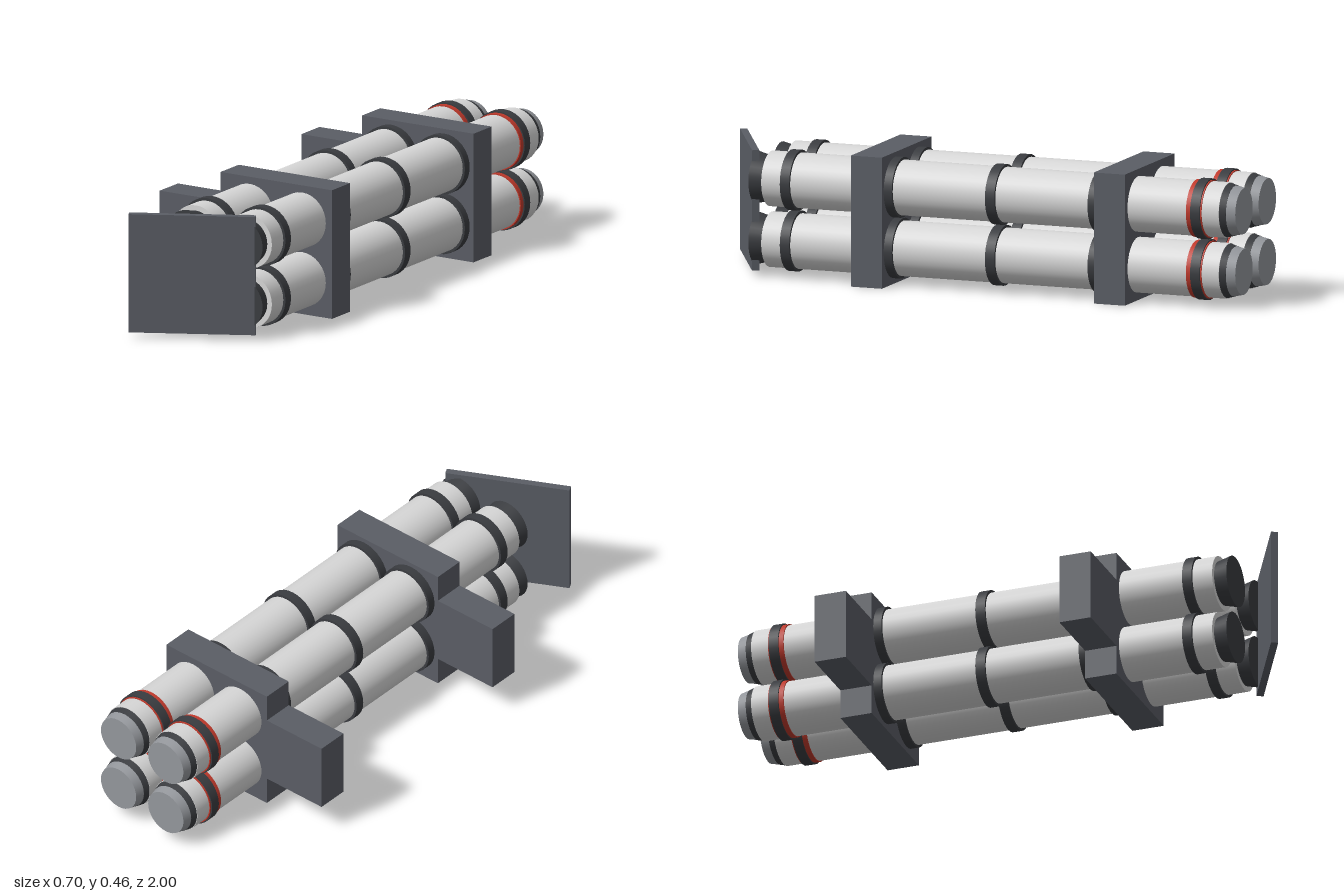
import * as THREE from 'three';

const mat = (name, color) => {
  const m = new THREE.MeshStandardMaterial({ color });
  m.name = name;
  return m;
};

export function createModel() {
  const frameGrey = mat('frame grey', 0x5a5d65);
  const tubeWhite = mat('tube white', 0xd6d6d6);
  const bandDark = mat('band dark grey', 0x3a3c40);
  const capGrey = mat('cap grey', 0x94979c);
  const red = mat('marking red', 0xc0392b);

  const root = new THREE.Group();
  root.name = 'tubeLauncher';

  const box = (name, w, h, d, x, y, z) => {
    const m = new THREE.Mesh(new THREE.BoxGeometry(w, h, d), frameGrey);
    m.name = name;
    m.position.set(x, y, z);
    root.add(m);
    return m;
  };

  // Round section along z, from the back end z0 to the front end z1
  const section = (parent, name, material, z0, z1, r0, r1 = r0) => {
    const geo = new THREE.CylinderGeometry(r1, r0, z1 - z0, 32);
    geo.rotateX(Math.PI / 2);
    const m = new THREE.Mesh(geo, material);
    m.name = name;
    m.position.z = (z0 + z1) / 2;
    parent.add(m);
  };

  // Two square frames, each with a mounting block on its right side
  for (const z of [0.35, -0.55]) {
    box('frame', 0.455, 0.457, 0.115, 0.1235, 0.2285, z);
    box('mountBlock', 0.25, 0.25, 0.115, -0.227, 0.23, z);
  }

  // Four tubes in a square
  for (const x of [0.016, 0.23]) {
    for (const y of [0.124, 0.336]) {
      const tube = new THREE.Group();
      tube.name = 'launchTube';
      tube.position.set(x, y, 0);
      section(tube, 'barrel', tubeWhite, -0.945, 0.75, 0.096);
      for (let i = 0; i < 5; i++) {
        const z = 0.66 - i * 0.38;
        section(tube, 'band', bandDark, z - 0.0175, z + 0.0175, 0.105);
      }
      section(tube, 'redBand', red, -0.882, -0.825, 0.1);
      // Flared muzzle at the front, tapered cap at the back
      section(tube, 'muzzle', bandDark, 0.745, 0.8, 0.076, 0.09);
      section(tube, 'capCollar', bandDark, -0.968, -0.945, 0.088, 0.094);
      section(tube, 'rearCap', capGrey, -1, -0.968, 0.08, 0.087);
      root.add(tube);
    }
  }

  // Cover swung open in front of the muzzles
  const cover = box('cover', 0.438, 0.42, 0.025, 0.09, 0.23, 0.888);
  cover.rotation.y = THREE.MathUtils.degToRad(27.5);

  return root;
}
